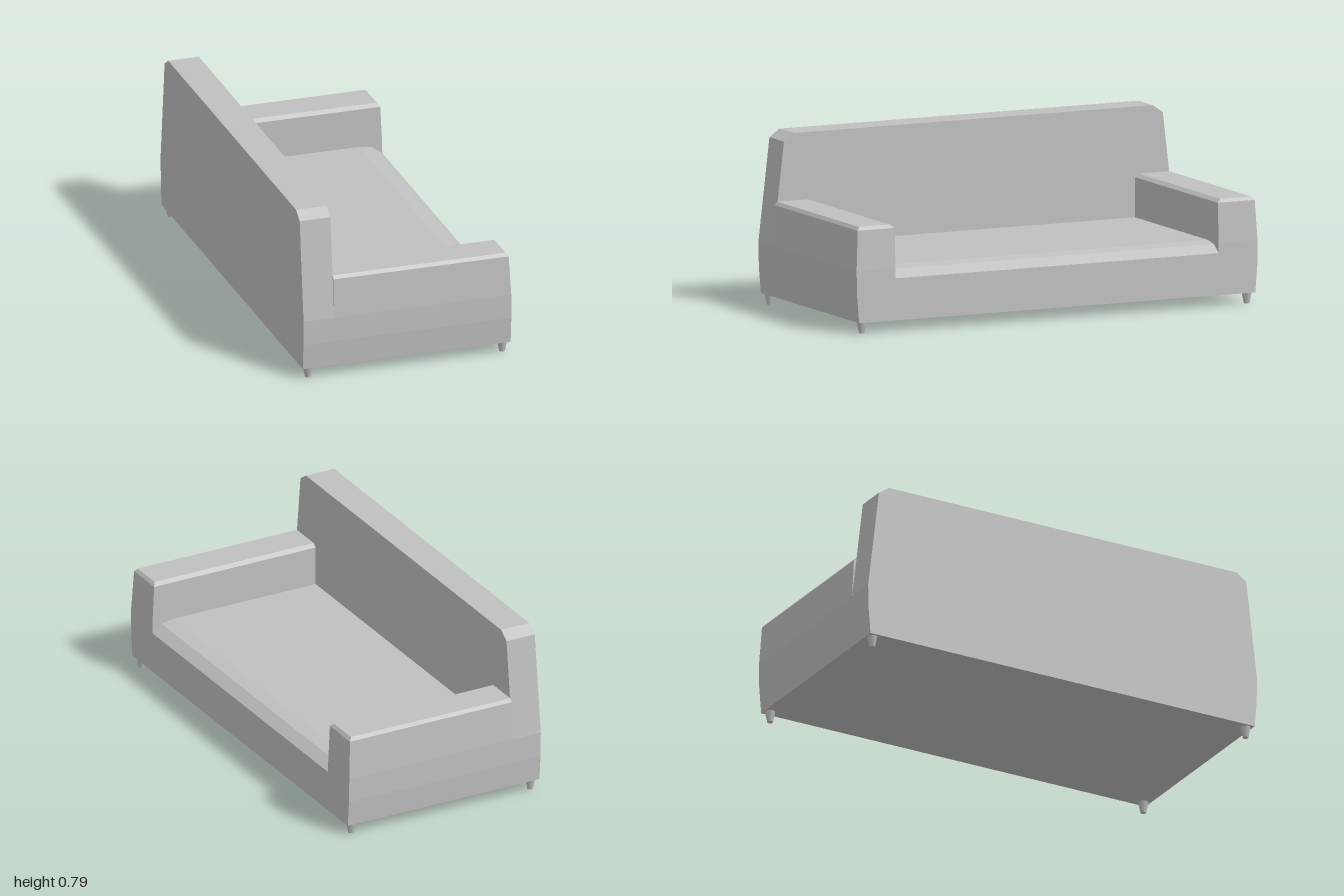
import * as THREE from 'three';

// Stack of rectangles, each [y, x0, x1, z0, z1], joined into a closed faceted solid
function stack(rows) {
  const corners = rows.map(([y, x0, x1, z0, z1]) => [
    [x0, y, z1], [x1, y, z1], [x1, y, z0], [x0, y, z0],
  ]);
  const pos = [];
  const quad = (a, b, c, d) => pos.push(...a, ...b, ...c, ...a, ...c, ...d);
  for (let i = 0; i < corners.length - 1; i++) {
    for (let j = 0; j < 4; j++) {
      const k = (j + 1) % 4;
      quad(corners[i][j], corners[i][k], corners[i + 1][k], corners[i + 1][j]);
    }
  }
  const first = corners[0], last = corners[corners.length - 1];
  quad(first[3], first[2], first[1], first[0]);
  quad(last[0], last[1], last[2], last[3]);
  const g = new THREE.BufferGeometry();
  g.setAttribute('position', new THREE.Float32BufferAttribute(pos, 3));
  g.computeVertexNormals();
  return g;
}

export function createModel() {
  const sofa = new THREE.Group();
  sofa.name = 'sofa';
  const grey = new THREE.MeshStandardMaterial({ color: 0xc0c0c0 });
  grey.name = 'light grey';
  const add = (name, geometry) => {
    const mesh = new THREE.Mesh(geometry, grey);
    mesh.name = name;
    sofa.add(mesh);
    return mesh;
  };

  const BACK = -0.49, BACK_FRONT = -0.346, FRONT = 0.488, INNER = 0.806;

  // Backrest: full width, tapering upward with clipped top corners
  const backProfile = [
    [0.05, 0.988], [0.17, 0.998], [0.285, 1.0], [0.47, 0.978], [0.75, 0.945], [0.785, 0.895],
  ];
  add('backrest', stack(backProfile.map(([y, w]) => [y, BACK, BACK_FRONT, -w, w])));

  // Armrests: [height, front x, inner z, outer z], mirrored
  const armProfile = [
    [0.05, FRONT, INNER, 0.988], [0.17, FRONT, INNER, 0.998], [0.285, 0.487, INNER, 1.0],
    [0.466, 0.478, INNER, 0.99], [0.481, 0.466, 0.824, 0.978],
  ];
  for (const side of [1, -1]) {
    add(side > 0 ? 'leftSideArmrest' : 'rightSideArmrest', stack(armProfile.map(([y, x, a, b]) =>
      [y, BACK_FRONT, x, side > 0 ? a : -b, side > 0 ? b : -a])));
  }

  // Seat and base: one profile with a softened front edge
  const seat = new THREE.Shape([
    [BACK_FRONT, 0.05], [FRONT, 0.05], [FRONT, 0.24], [0.44, 0.275], [0.38, 0.285], [BACK_FRONT, 0.285],
  ].map(([x, y]) => new THREE.Vector2(x, y)));
  const seatGeometry = new THREE.ExtrudeGeometry(seat, { depth: 2 * INNER, bevelEnabled: false });
  add('seat', seatGeometry.translate(0, 0, -INNER));

  // Tapered feet
  for (const x of [-0.457, 0.457]) {
    for (const z of [-0.96, 0.96]) {
      add('foot', new THREE.CylinderGeometry(0.024, 0.013, 0.05, 8)).position.set(x, 0.025, z);
    }
  }
  return sofa;
}
